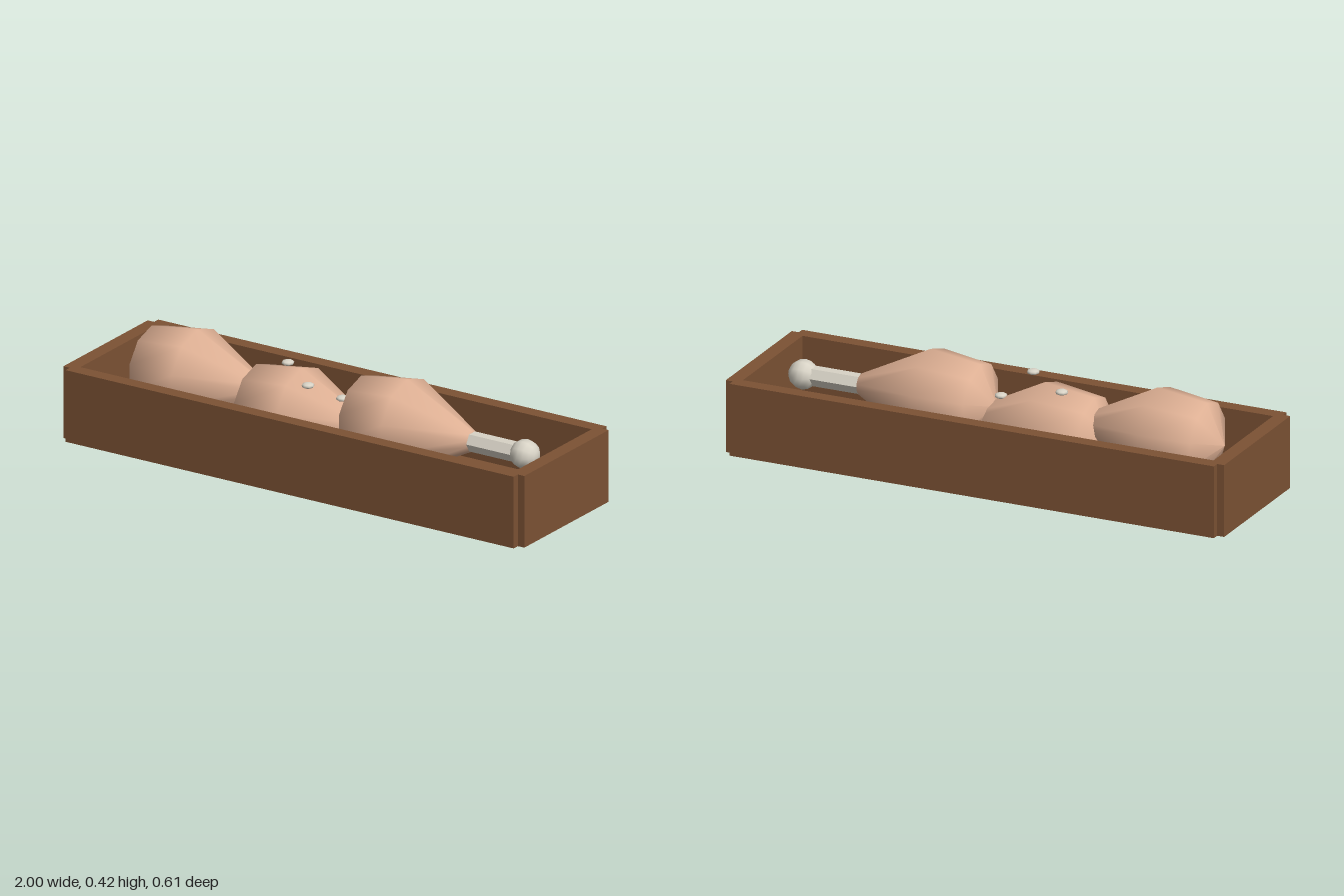
import * as THREE from 'three';

export function createModel() {
  const model = new THREE.Group();
  model.name = 'drumstickTray';

  const mat = (name, color, extra = {}) => {
    const m = new THREE.MeshStandardMaterial({ color, ...extra });
    m.name = name;
    return m;
  };
  const wood = mat('brown wood', 0x7c5234);
  const meat = mat('cooked meat', 0xdeb094);
  const bone = mat('pale bone', 0xd8d3c6);

  const add = (parent, name, geometry, material, x = 0, y = 0, z = 0) => {
    const mesh = new THREE.Mesh(geometry, material);
    mesh.name = name;
    mesh.position.set(x, y, z);
    parent.add(mesh);
    return mesh;
  };

  // Open tray: long walls overlap the end walls, leaving notched corners
  const H = 0.278;
  add(model, 'trayFloor', new THREE.BoxGeometry(1.94, 0.055, 0.55), wood, 0, 0.0275, 0);
  for (const s of [1, -1]) {
    add(model, s > 0 ? 'frontWall' : 'backWall',
      new THREE.BoxGeometry(1.944, H, 0.055), wood, 0, H / 2, s * 0.277);
    add(model, s > 0 ? 'leftWall' : 'rightWall',
      new THREE.BoxGeometry(0.056, H, 0.554), wood, s * 0.972, H / 2, 0);
  }

  // Drumsticks lie along x: ten-sided meat, six-sided shaft, round knuckle
  const profile = [[0, -0.27], [0.154, -0.2], [0.182, 0], [0.04, 0.28], [0, 0.28]]
    .map(([r, h]) => new THREE.Vector2(r, h));
  const meatGeo = new THREE.LatheGeometry(profile, 10, Math.PI / 2).rotateZ(-Math.PI / 2);
  const shaftGeo = new THREE.CylinderGeometry(0.038, 0.038, 0.28, 6).toNonIndexed();
  shaftGeo.computeVertexNormals();
  shaftGeo.rotateZ(-Math.PI / 2);
  const knuckleGeo = new THREE.SphereGeometry(0.056, 10, 8).rotateZ(-Math.PI / 2);
  knuckleGeo.rotateX(Math.PI / 2);

  [[-0.6, 0.236], [-0.147, 0.182], [0.31, 0.236]].forEach(([x, y], i) => {
    const drumstick = new THREE.Group();
    drumstick.name = 'drumstick' + (i + 1);
    drumstick.position.set(x, y, 0);
    add(drumstick, 'meat', meatGeo, meat);
    add(drumstick, 'boneShaft', shaftGeo, bone, 0.39);
    add(drumstick, 'boneKnuckle', knuckleGeo, bone, 0.51);
    model.add(drumstick);
  });

  // Flattened garnish grains resting on the middle drumstick
  const grainGeo = new THREE.SphereGeometry(0.024, 8, 6).scale(1, 0.45, 1);
  [[-0.235, 0.354, -0.04], [-0.05, 0.352, 0.108], [0.028, 0.284, 0]].forEach((p, i) =>
    add(model, 'grain' + (i + 1), grainGeo, bone, ...p));

  return model;
}
